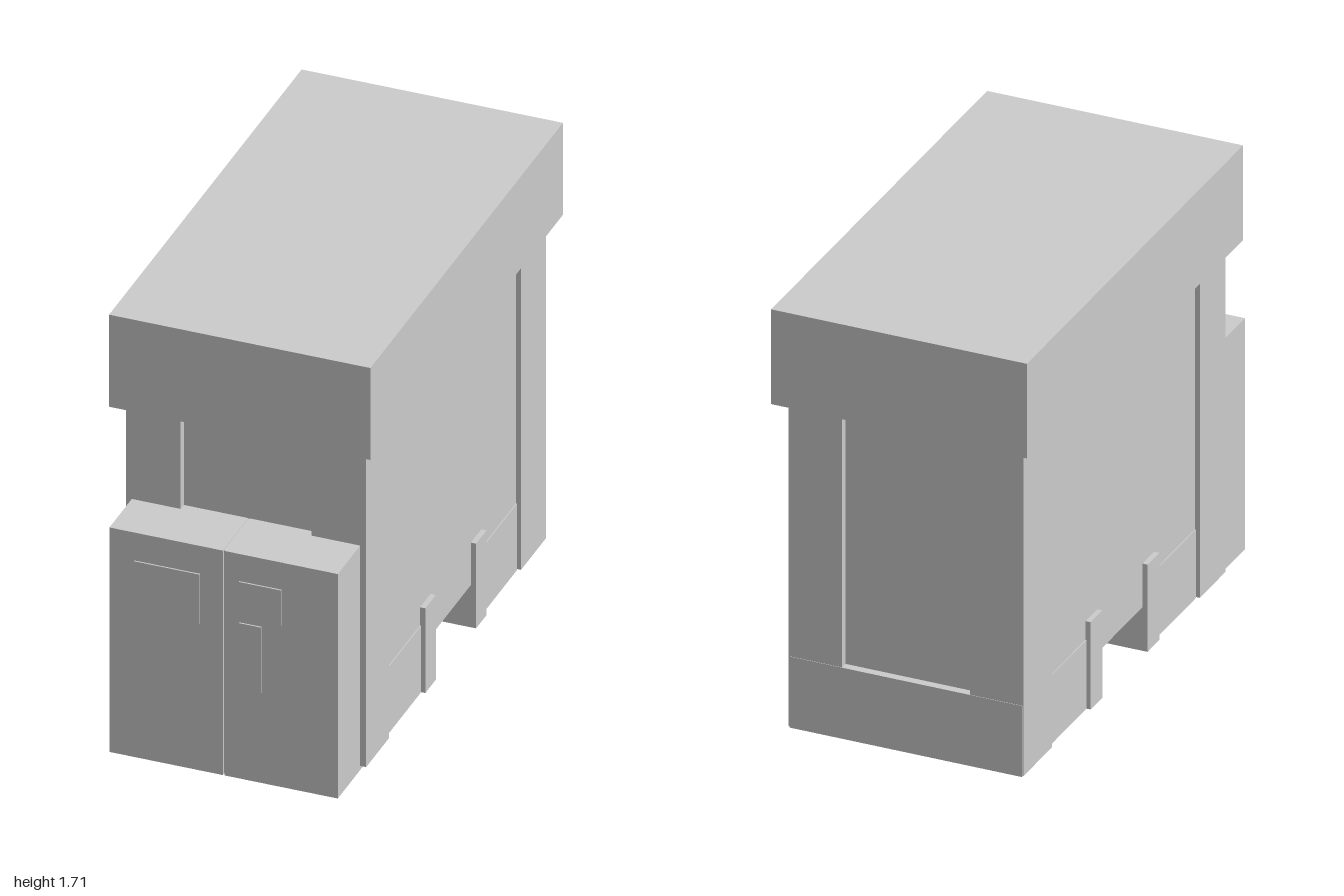
import * as THREE from 'three';

export function createModel() {
  const model = new THREE.Group();
  const material = new THREE.MeshStandardMaterial({ color: 0xcccccc, flatShading: true });

  function add(name, geometry) {
    const mesh = new THREE.Mesh(geometry, material);
    mesh.name = name;
    model.add(mesh);
    return mesh;
  }
  // Box given by its extents along each axis
  function block(name, [x0, x1], [y0, y1], [z0, z1]) {
    add(name, new THREE.BoxGeometry(x1 - x0, y1 - y0, z1 - z0))
      .position.set((x0 + x1) / 2, (y0 + y1) / 2, (z0 + z1) / 2);
  }
  const span = (side, a, b) => (side > 0 ? [a, b] : [-b, -a]);

  const base = 0.015, eaves = 1.33;

  // Recessed core with a passage cut through underneath, drawn as a side profile
  const profile = new THREE.Shape([
    [-0.75, base], [-0.115, base], [-0.115, 0.19], [0.27, 0.19],
    [0.27, base], [0.91, base], [0.91, eaves], [-0.75, eaves],
  ].map(([x, y]) => new THREE.Vector2(x, y)));
  const core = new THREE.ExtrudeGeometry(profile, { depth: 0.88, bevelEnabled: false });
  core.translate(0, 0, -0.44).rotateY(Math.PI / 2);
  add('body', core);

  // Roof slab
  block('roof', [-0.5, 0.5], [eaves, 1.71], [-1, 0.84]);

  for (const side of [-1, 1]) {
    const name = side > 0 ? 'left' : 'right';
    // Corner pillars
    block(name + 'FrontPillar', span(side, 0.25, 0.46), [0.02, eaves], [0.56, 0.78]);
    block(name + 'BackPillar', span(side, 0.25, 0.46), [0.02, eaves], [-0.94, -0.7]);
    // Short posts beside the passage
    block(name + 'FrontPost', span(side, 0.4, 0.46), [base, 0.365], [0.115, 0.215]);
    block(name + 'BackPost', span(side, 0.4, 0.46), [base, 0.365], [-0.37, -0.27]);
    // Thin skirting between posts and pillars
    block(name + 'FrontSkirt', span(side, 0.42, 0.444), [base, 0.29], [0.215, 0.56]);
    block(name + 'BackSkirt', span(side, 0.42, 0.444), [base, 0.29], [-0.7, -0.37]);
    // Halves of the front cabinet, with a fine seam between them
    block(name + 'Cabinet', span(side, 0.003, 0.437), [0.003, 0.93], [0.745, 0.994]);
  }
  block('cabinetSeam', [-0.01, 0.01], [0.006, 0.927], [0.75, 0.985]);

  // Skirting across the back
  block('backSkirt', [-0.455, 0.455], [base, 0.3], [-0.942, -0.88]);

  // Raised plates on the cabinet front
  block('widePlate', [-0.34, -0.09], [0.61, 0.815], [0.98, 1]);
  block('smallPlate', [0.06, 0.222], [0.673, 0.818], [0.98, 1]);
  block('tallPlate', [0.06, 0.145], [0.375, 0.648], [0.98, 1]);

  return model;
}
